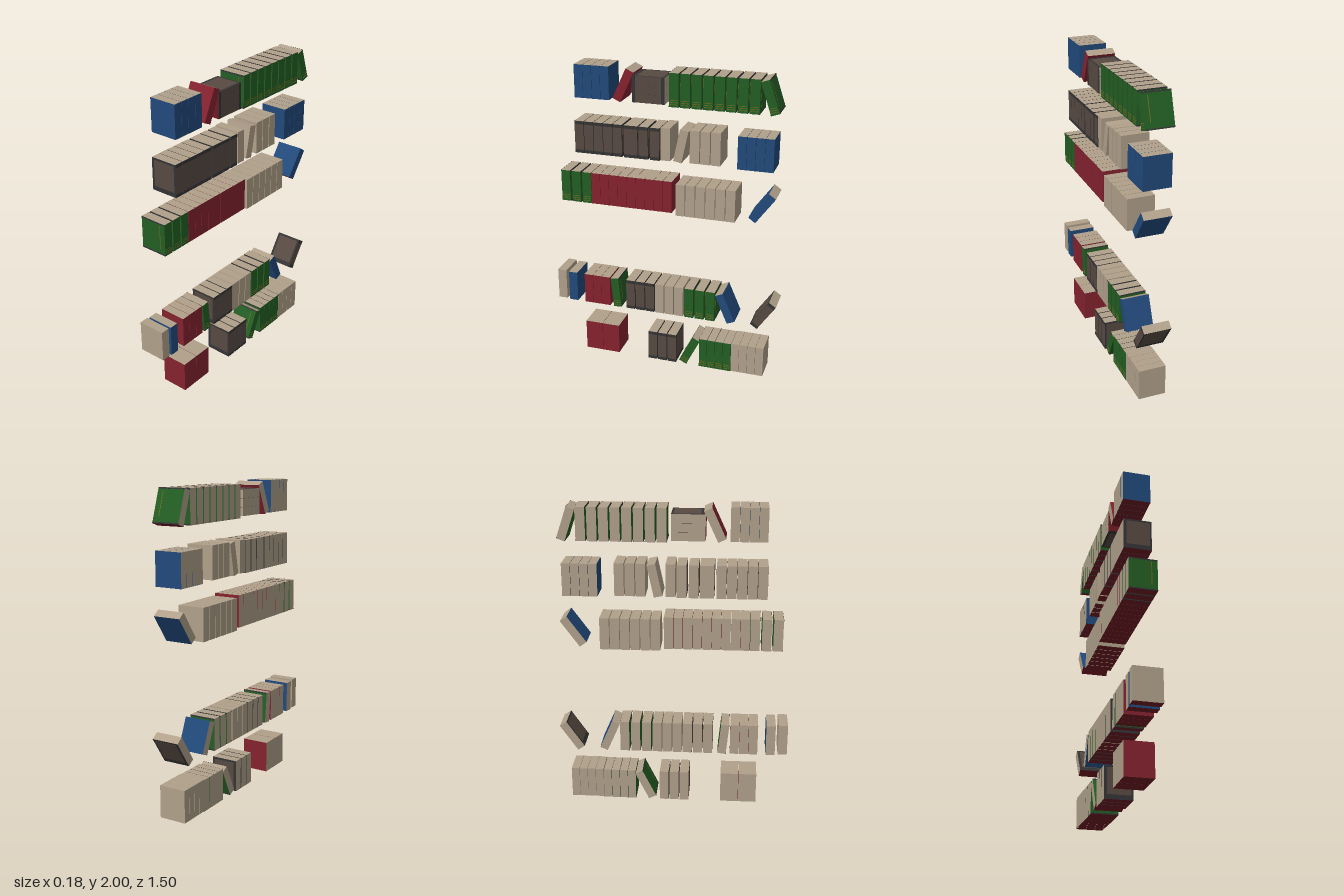
import * as THREE from 'three';

const DEPTH = 0.178, HEIGHT = 0.208, THICK = 0.06;

const paint = (name, color) => {
  const m = new THREE.MeshStandardMaterial({ color });
  m.name = name;
  return m;
};

const addPlate = (parent, name, mat, w, h, d, x, y, z) => {
  const m = new THREE.Mesh(new THREE.BoxGeometry(w, h, d), mat);
  m.name = name;
  m.position.set(x, y, z);
  parent.add(m);
};

export function createModel() {
  const mats = {
    beige: paint('beige', 0xb0a08a),
    red: paint('red', 0x84222f),
    green: paint('green', 0x235d23),
    blue: paint('blue', 0x21497a),
    brown: paint('brown', 0x574a42),
    dark: paint('dark trim', 0x343335),
    base: paint('dark red underside', 0x701a24),
    gold: paint('gold trim', 0x6e6c20),
  };

  // One book: spine on +x, page edges on top and on -x, covers on +z and -z
  function makeBook(colour, thick) {
    const book = new THREE.Group();
    book.name = colour + 'Book';
    const c = mats[colour], cover = colour === 'brown' ? mats.dark : c;
    const block = new THREE.Mesh(new THREE.BoxGeometry(DEPTH, HEIGHT, thick),
      [c, mats.beige, mats.beige, mats.base, cover, cover]);
    block.name = 'bookBlock';
    book.add(block);
    const spineX = DEPTH / 2;
    if (colour === 'brown') {
      // Dark bands on the spine and a lighter field on each cover
      for (const s of [-1, 1]) {
        addPlate(book, 'spineBand', mats.dark, 0.002, 0.02, thick, spineX, s * 0.093, 0);
        addPlate(book, 'coverField', mats.brown, 0.15, 0.165, 0.002, 0.003, 0.008, s * thick / 2);
      }
    }
    if (colour === 'green') {
      // Gold lines low on the spine, a gold rule and dark edges on each cover
      for (let i = 0; i < 3; i++)
        addPlate(book, 'spineLine', mats.gold, 0.002, 0.004, thick * 0.8, spineX, -0.088 + i * 0.013, 0);
      for (const s of [-1, 1]) {
        addPlate(book, 'coverRule', mats.gold, 0.005, 0.15, 0.002, 0.052, 0.01, s * thick / 2);
        for (const e of [-1, 1])
          addPlate(book, 'coverEdge', mats.dark, DEPTH, 0.008, 0.002, 0, e * 0.1, s * thick / 2);
      }
    }
    return book;
  }

  const model = new THREE.Group();
  model.name = 'bookRows';
  let row;
  const startRow = (name) => {
    row = new THREE.Group();
    row.name = name;
    model.add(row);
  };

  // Upright books standing at height y, running back from z at an even pitch
  function run(colour, y, z, count = 1, pitch = 0.062, thick = Math.min(THICK, pitch - 0.002)) {
    for (let i = 0; i < count; i++) {
      const book = makeBook(colour, thick);
      book.position.set(0, y + HEIGHT / 2, z - i * pitch - thick / 2);
      row.add(book);
    }
  }

  // A tilted book given by its centre; positive degrees tip the top towards +z
  function lean(colour, y, z, degrees) {
    const book = makeBook(colour, 0.054);
    book.position.set(0, y, z);
    book.rotation.x = THREE.MathUtils.degToRad(degrees);
    row.add(book);
  }

  startRow('firstRow');
  run('red', 0.005, 0.557, 2, 0.12, 0.118);
  run('brown', 0.003, 0.106, 3, 0.067);
  lean('green', 0.109, -0.182, -26);
  run('green', 0.004, -0.249, 4, 0.0545);
  run('beige', 0.008, -0.467, 4, 0.0543);

  startRow('secondRow');
  run('beige', 0.37, 0.75);
  run('blue', 0.364, 0.671);
  run('red', 0.364, 0.557, 3, 0.061);
  lean('green', 0.467, 0.333, 5.5);
  run('brown', 0.364, 0.26, 3, 0.067);
  run('beige', 0.364, 0.058, 3, 0.0655);
  run('green', 0.364, -0.143, 3, 0.072);
  lean('blue', 0.467, -0.416, 23.5);
  lean('brown', 0.458, -0.667, -34);

  startRow('thirdRow');
  run('green', 1.094, 0.69, 3, 0.072);
  run('red', 1.094, 0.483, 9, 0.0601);
  run('beige', 1.08, -0.08, 6, 0.0645);
  lean('blue', 1.194, -0.63, -35.7);

  startRow('fourthRow');
  run('brown', 1.432, 0.583, 5, 0.0635);
  run('brown', 1.432, 0.255, 1, 0.09, 0.088);
  run('brown', 1.432, 0.159, 2, 0.074);
  run('beige', 1.437, 0.016);
  lean('beige', 1.538, -0.112, -12);
  run('beige', 1.437, -0.17, 3, 0.066);
  run('blue', 1.43, -0.467, 4, 0.0558);

  startRow('fifthRow');
  run('blue', 1.79, 0.573, 4, 0.057);
  lean('red', 1.889, 0.255, -25);
  // Flat stack with front covers up
  for (let i = 0; i < 3; i++) lean('brown', 1.8175 + i * 0.055, 0.094, -90);
  run('green', 1.78, -0.037, 8, 0.0705);
  lean('green', 1.884, -0.65, 19);

  return model;
}
